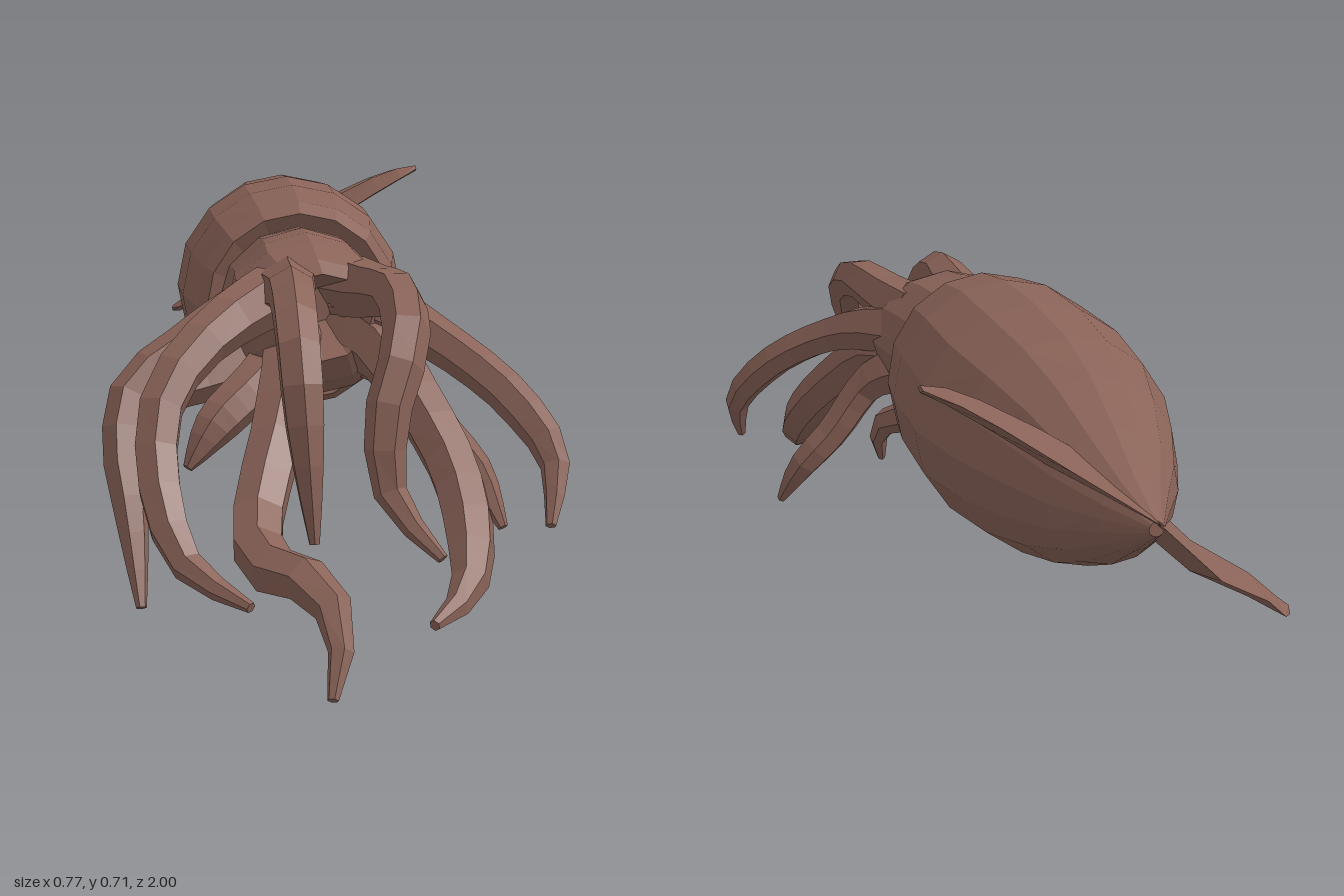
import * as THREE from 'three';

const skin = new THREE.MeshStandardMaterial({ color: 0x8a6358, flatShading: true });
skin.name = 'reddish brown skin';

// Skins a list of closed rings (arrays of Vector3, clockwise seen along the loft)
function loft(name, rings, capStart = true) {
  const pos = [];
  const tri = (a, b, c) => [a, b, c].forEach((p) => pos.push(p.x, p.y, p.z));
  const n = rings[0].length;
  const centre = (r) => r.reduce((s, p) => s.add(p), new THREE.Vector3()).divideScalar(n);
  for (let i = 0; i < rings.length - 1; i++) {
    for (let j = 0; j < n; j++) {
      const k = (j + 1) % n;
      const a = rings[i][j], b = rings[i][k], c = rings[i + 1][j], d = rings[i + 1][k];
      tri(a, b, c);
      tri(b, d, c);
    }
  }
  const first = rings[0], last = rings[rings.length - 1];
  for (let j = 0; j < n; j++) {
    const k = (j + 1) % n;
    if (capStart) tri(centre(first), first[k], first[j]);
    tri(centre(last), last[j], last[k]);
  }
  const g = new THREE.BufferGeometry();
  g.setAttribute('position', new THREE.Float32BufferAttribute(pos, 3));
  g.computeVertexNormals();
  const mesh = new THREE.Mesh(g, skin);
  mesh.name = name;
  return mesh;
}

// Elliptical ring facing z; lean slants the ring so its top sits further forward
function ellipse([z, cx, cy, rx, ry, lean = 0], sides) {
  return Array.from({ length: sides }, (_, j) => {
    const a = (j / sides) * Math.PI * 2;
    const dy = ry * Math.cos(a);
    return new THREE.Vector3(cx + rx * Math.sin(a), cy + dy, z + lean * dy);
  });
}

// Arm radius along its length: broad root, even middle, blunt tapered tip
function armRadius(t, mid) {
  const { lerp } = THREE.MathUtils;
  if (t < 0.35) return lerp(0.06, mid, t / 0.35);
  if (t < 0.68) return lerp(mid, mid * 0.9, (t - 0.35) / 0.33);
  return lerp(mid * 0.9, 0.009, ((t - 0.68) / 0.32) ** 1.4);
}

// Six-sided arm along a smooth path
function arm(name, points, mid) {
  const path = new THREE.CatmullRomCurve3(points.map((p) => new THREE.Vector3(...p)));
  const steps = 12;
  const { normals, binormals } = path.computeFrenetFrames(steps, false);
  const rings = [];
  for (let i = 0; i <= steps; i++) {
    const p = path.getPointAt(i / steps), r = armRadius(i / steps, mid);
    rings.push(Array.from({ length: 6 }, (_, j) => {
      const a = (j / 6) * Math.PI * 2;
      return p.clone()
        .addScaledVector(normals[i], r * Math.sin(a))
        .addScaledVector(binormals[i], -r * Math.cos(a));
    }));
  }
  return loft(name, rings);
}

// Fin from [leading edge, trailing edge, half thickness] sections, root to tip
function fin(name, sections, side) {
  return loft(name, sections.map(([lead, trail, h]) => {
    const a = new THREE.Vector3(...lead), b = new THREE.Vector3(...trail);
    const top = a.clone().lerp(b, 0.4), bottom = top.clone();
    top.y += h;
    bottom.y -= h;
    return side > 0 ? [top, a, bottom, b] : [top, b, bottom, a];
  }));
}

export function createModel() {
  const model = new THREE.Group();
  model.name = 'squid';

  // Mantle, from the open lip back to the pointed tail
  model.add(loft('mantle', [
    [0.07, -0.024, 0.49, 0.13, 0.13, 0.11],
    [0.087, -0.024, 0.49, 0.172, 0.177, 0.11],
    [0.05, -0.024, 0.492, 0.19, 0.195, 0.11],
    [-0.07, -0.027, 0.499, 0.211, 0.21],
    [-0.26, -0.027, 0.5, 0.218, 0.215],
    [-0.45, -0.025, 0.51, 0.194, 0.198],
    [-0.6, -0.02, 0.518, 0.154, 0.165],
    [-0.75, -0.01, 0.53, 0.11, 0.115],
    [-0.88, 0, 0.548, 0.058, 0.06],
    [-0.98, 0, 0.562, 0.012, 0.012],
  ].map((s) => ellipse(s, 16)), false));

  // Head, flaring into the arm roots and hollowed at the mouth
  model.add(loft('head', [
    [0.3, -0.005, 0.52, 0.03, 0.03],
    [0.41, -0.005, 0.51, 0.085, 0.075],
    [0.38, -0.012, 0.5, 0.122, 0.108],
    [0.31, -0.018, 0.496, 0.153, 0.136],
    [0.24, -0.022, 0.496, 0.148, 0.147],
    [0.17, -0.025, 0.498, 0.143, 0.148],
    [0.08, -0.025, 0.498, 0.149, 0.143],
    [0, -0.025, 0.5, 0.147, 0.14],
  ].map((s) => ellipse(s, 12))));

  // Tail fins, one raised and one lowered
  model.add(fin('leftFin', [
    [[0.03, 0.56, -0.62], [0, 0.575, -1], 0.03],
    [[0.1, 0.605, -0.59], [0.1, 0.63, -0.9], 0.026],
    [[0.19, 0.66, -0.605], [0.19, 0.68, -0.805], 0.02],
    [[0.245, 0.69, -0.62], [0.235, 0.7, -0.75], 0.014],
    [[0.283, 0.708, -0.66], [0.28, 0.71, -0.685], 0.006],
  ], 1));
  model.add(fin('rightFin', [
    [[-0.03, 0.52, -0.68], [0, 0.575, -1], 0.03],
    [[-0.115, 0.44, -0.73], [-0.1, 0.475, -1], 0.026],
    [[-0.19, 0.41, -0.825], [-0.18, 0.43, -0.99], 0.02],
    [[-0.235, 0.385, -0.87], [-0.225, 0.385, -0.955], 0.012],
    [[-0.25, 0.38, -0.9], [-0.245, 0.375, -0.925], 0.006],
  ], -1));

  // Arms, each from inside the head to its curled tip
  const arms = {
    topRightArm: [0.041, [[-0.06, 0.55, 0.28], [-0.065, 0.56, 0.42], [-0.068, 0.565, 0.57],
      [-0.066, 0.49, 0.7], [-0.058, 0.36, 0.74], [-0.045, 0.19, 0.755]]],
    topLeftArm: [0.041, [[0.05, 0.55, 0.28], [0.08, 0.555, 0.42], [0.108, 0.56, 0.57],
      [0.105, 0.5, 0.7], [0.07, 0.39, 0.75], [0.075, 0.27, 0.77], [0.15, 0.18, 0.83]]],
    longCentreArm: [0.048, [[-0.05, 0.46, 0.28], [-0.06, 0.42, 0.4], [-0.09, 0.33, 0.53],
      [-0.13, 0.21, 0.66], [-0.125, 0.16, 0.76], [-0.055, 0.15, 0.86], [-0.018, 0.1, 0.93],
      [-0.035, 0.005, 0.995]]],
    longLeftArm: [0.048, [[0.05, 0.47, 0.28], [0.1, 0.45, 0.4], [0.145, 0.38, 0.51],
      [0.195, 0.28, 0.63], [0.205, 0.19, 0.75], [0.185, 0.13, 0.85], [0.125, 0.1, 0.93]]],
    upperLeftArm: [0.038, [[0.06, 0.52, 0.28], [0.14, 0.5, 0.4], [0.22, 0.455, 0.49],
      [0.3, 0.39, 0.56], [0.36, 0.3, 0.62], [0.345, 0.2, 0.69]]],
    lowerLeftArm: [0.037, [[0.04, 0.46, 0.27], [0.13, 0.41, 0.335], [0.21, 0.3, 0.355],
      [0.27, 0.23, 0.37], [0.31, 0.14, 0.42]]],
    upperRightArm: [0.038, [[-0.07, 0.53, 0.28], [-0.14, 0.515, 0.36], [-0.24, 0.465, 0.42],
      [-0.33, 0.4, 0.46], [-0.35, 0.32, 0.5], [-0.335, 0.2, 0.56], [-0.32, 0.06, 0.63]]],
    longRightArm: [0.042, [[-0.07, 0.54, 0.28], [-0.12, 0.535, 0.41], [-0.21, 0.485, 0.51],
      [-0.28, 0.4, 0.58], [-0.292, 0.29, 0.64], [-0.25, 0.16, 0.74], [-0.15, 0.11, 0.84]]],
    lowerRightArm: [0.036, [[-0.07, 0.45, 0.27], [-0.17, 0.4, 0.32], [-0.28, 0.365, 0.35],
      [-0.345, 0.28, 0.34], [-0.35, 0.15, 0.4]]],
    shortRightArm: [0.045, [[-0.05, 0.45, 0.28], [-0.12, 0.39, 0.38], [-0.19, 0.33, 0.43],
      [-0.24, 0.26, 0.46]]],
  };
  for (const [name, [mid, points]] of Object.entries(arms)) model.add(arm(name, points, mid));

  return model;
}
